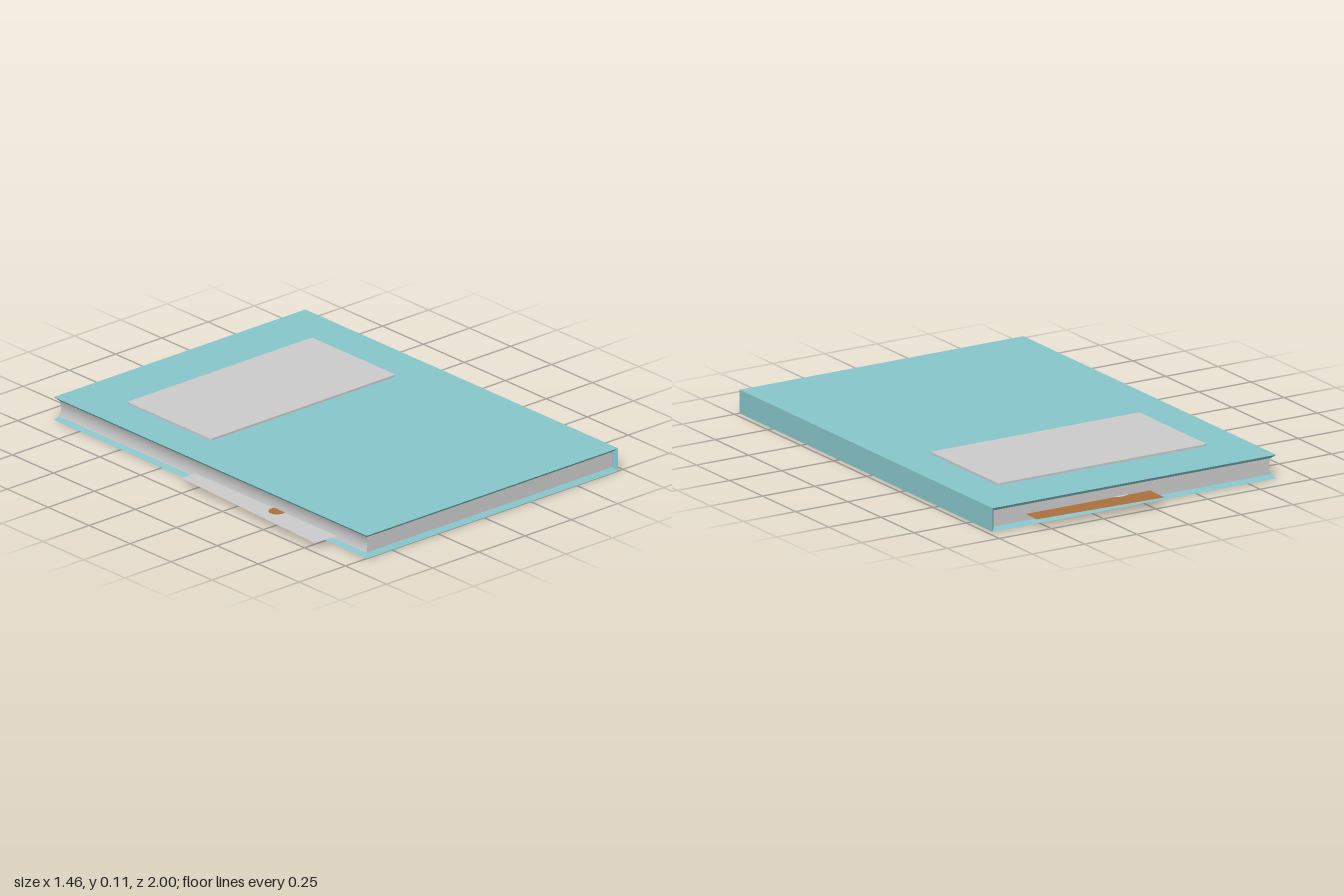
import * as THREE from 'three';

const X0 = -0.635, X1 = 0.725, Z0 = -0.91, Z1 = 1, H = 0.1, T = 0.015;

export function createModel() {
  const book = new THREE.Group();
  book.name = 'book';

  const material = (name, color, side = THREE.FrontSide) => {
    const m = new THREE.MeshStandardMaterial({ color, side });
    m.name = name;
    return m;
  };
  const teal = material('teal cover', 0x86c5ca);
  const paper = material('grey paper', 0xcacaca, THREE.DoubleSide);
  const brown = material('brown card', 0xaa703a, THREE.DoubleSide);

  const add = (name, geometry, mat, parent = book) => {
    const mesh = new THREE.Mesh(geometry, mat);
    mesh.name = name;
    parent.add(mesh);
    return mesh;
  };

  // Box whose corners are placed by a rule: (sx, sy, sz) signs -> [x, y, z]
  const ruledBox = (rule) => {
    const g = new THREE.BoxGeometry(2, 2, 2);
    const p = g.attributes.position;
    for (let i = 0; i < p.count; i++) p.setXYZ(i, ...rule(p.getX(i), p.getY(i), p.getZ(i)));
    g.computeVertexNormals();
    return g;
  };

  // Cover boards: the inner face is set in on every edge, mitred to the spine
  const board = (top) => ruledBox((sx, sy, sz) => {
    const inner = (sy > 0) !== top ? T : 0;
    return [
      sx > 0 ? X1 - inner : X0 + inner,
      top ? H - inner : inner,
      sz > 0 ? Z1 - inner : Z0 + inner,
    ];
  });
  add('topCover', board(true), teal);
  add('bottomCover', board(false), teal);

  // Spine, mitred to both boards
  add('spine', ruledBox((sx, sy, sz) => {
    const inner = sx < 0 ? T : 0;
    return [X1 - inner, sy > 0 ? H - inner : inner, sz > 0 ? Z1 - inner : Z0 + inner];
  }), teal);

  // Page block with a hollow fore-edge and a softened spine side
  const right = X1 - T, low = T, high = H - T, r = 0.012;
  const section = new THREE.Shape();
  section.moveTo(X0 + T, low);
  section.lineTo(right - r, low);
  section.quadraticCurveTo(right, low, right, low + r);
  section.lineTo(right, high - r);
  section.quadraticCurveTo(right, high, right - r, high);
  section.lineTo(X0 + T, high);
  section.quadraticCurveTo(X0 + T + 0.014, H / 2, X0 + T, low);
  const pages = new THREE.ExtrudeGeometry(section, { depth: 1.87, bevelEnabled: false, curveSegments: 10 });
  add('pages', pages.translate(0, 0, Z0 + 0.02), paper);

  // Title plate on the front cover, with slightly rounded corners
  const a = 0.5, b = 0.255, c = 0.012;
  const plate = new THREE.Shape();
  plate.moveTo(-a + c, -b);
  plate.lineTo(a - c, -b).quadraticCurveTo(a, -b, a, -b + c);
  plate.lineTo(a, b - c).quadraticCurveTo(a, b, a - c, b);
  plate.lineTo(-a + c, b).quadraticCurveTo(-a, b, -a, b - c);
  plate.lineTo(-a, -b + c).quadraticCurveTo(-a, -b, -a + c, -b);
  const label = new THREE.ExtrudeGeometry(plate, { depth: 0.009, bevelEnabled: false, curveSegments: 4 });
  label.rotateX(-Math.PI / 2).translate(0.04, H, -0.405);
  add('label', label, paper);

  // Loose sheets: zero-thickness slips hung from their outer corner
  const slip = (name, width, depth, position, turn, mat) => {
    const g = new THREE.PlaneGeometry(width, depth).rotateX(-Math.PI / 2);
    const mesh = add(name, g.translate(width / 2, 0, depth / 2), mat);
    mesh.position.set(...position);
    mesh.rotation.y = turn;
  };
  slip('backBookmark', 0.596, 1.2, [-0.04, 0.042, -1], -0.042, brown);
  slip('sideCard', 0.6, 0.861, [-0.69, 0.028, -0.07], -0.0465, paper);

  // Round spots on the slips
  const spot = (name, radius, position, mat) => {
    add(name, new THREE.CircleGeometry(radius, 12).rotateX(-Math.PI / 2), mat).position.set(...position);
  };
  spot('cardSpot', 0.036, [-0.63, 0.031, 0.447], brown);
  spot('bookmarkSpot', 0.06, [0.1, 0.045, -0.848], paper);

  return book;
}
